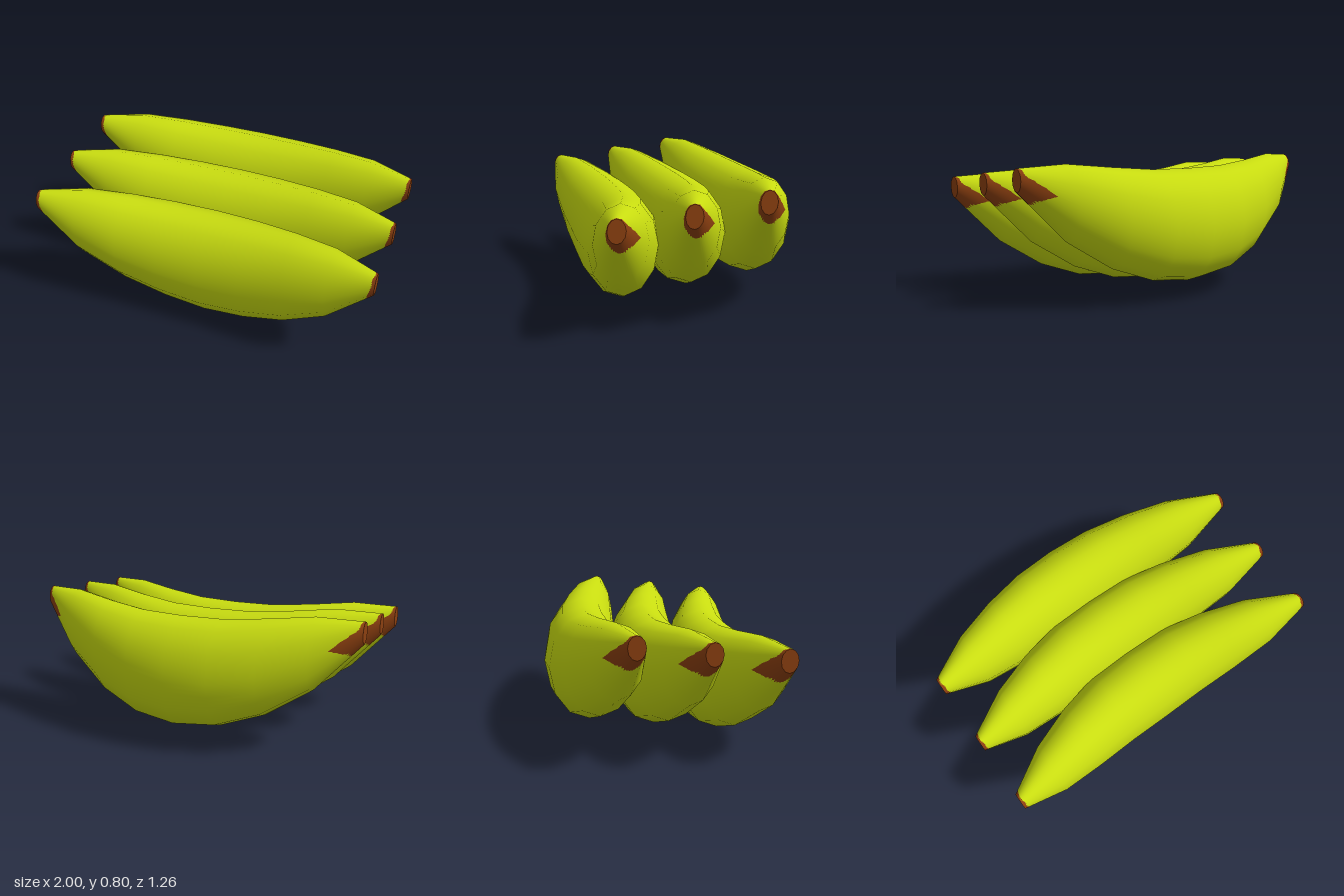
import * as THREE from 'three';

// Half of the fruit: [x, centreY, centreZ, radiusY, radiusZ] of each elliptical section
const SECTIONS = [
  [0, 0.33, 0.368, 0.326, 0.233],
  [0.25, 0.347, 0.378, 0.313, 0.224],
  [0.5, 0.403, 0.42, 0.278, 0.197],
  [0.75, 0.498, 0.482, 0.208, 0.148],
  [1, 0.627, 0.553, 0.063, 0.047],
];
const SIDES = 12;
const COLUMNS = 72; // several columns per side, for the ragged edge of the tips

// Brown edge position along x, every 15 degrees from front, over the top, to the back and below
const TIP_EDGE = [
  0.975, 0.977, 0.98, 0.98, 0.982, 0.985, 0.985, 0.985, 0.982, 0.98, 0.972, 0.92,
  0.845, 0.885, 0.91, 0.925, 0.93, 0.935, 0.945, 0.948, 0.955, 0.96, 0.965, 0.97,
];

function sectionAt(x) {
  const a = Math.abs(x);
  const i = Math.min(3, Math.floor(a * 4));
  const t = a * 4 - i;
  return SECTIONS[i].map((v, k) => THREE.MathUtils.lerp(v, SECTIONS[i + 1][k], t));
}

// Point on the smooth ellipse of the section at x
function ellipsePoint(x, angle) {
  const [, cy, cz, ry, rz] = sectionAt(x);
  return new THREE.Vector3(x, cy + ry * Math.sin(angle), cz + rz * Math.cos(angle));
}

// Point on the twelve-sided section
function surfacePoint(x, column) {
  const side = (column / COLUMNS) * SIDES;
  const step = (Math.PI * 2) / SIDES;
  const low = Math.floor(side);
  return ellipsePoint(x, low * step).lerp(ellipsePoint(x, (low + 1) * step), side - low);
}

function surfaceNormal(x, column) {
  const angle = (column / COLUMNS) * Math.PI * 2;
  const along = ellipsePoint(Math.min(1, x + 0.1), angle).sub(ellipsePoint(Math.max(-1, x - 0.1), angle));
  const around = ellipsePoint(x, angle + 0.01).sub(ellipsePoint(x, angle - 0.01));
  return along.cross(around).normalize();
}

function tipEdge(column) {
  const c = column % COLUMNS;
  const f = (c / COLUMNS) * TIP_EDGE.length;
  const i = Math.floor(f);
  const edge = THREE.MathUtils.lerp(TIP_EDGE[i], TIP_EDGE[(i + 1) % TIP_EDGE.length], f - i);
  const tooth = c % 2 ? 0.007 + 0.006 * Math.sin(c * 2.7) : 0;
  return edge + tooth * (edge < 0.97 ? 1 : 0.6);
}

// Loft through the x positions that rows(column) gives
function loft(rows) {
  const positions = [], normals = [], index = [];
  const count = rows(0).length;
  for (let j = 0; j <= COLUMNS; j++) {
    for (const x of rows(j)) {
      positions.push(...surfacePoint(x, j).toArray());
      normals.push(...surfaceNormal(x, j).toArray());
    }
  }
  for (let j = 0; j < COLUMNS; j++) {
    for (let i = 0; i < count - 1; i++) {
      const a = j * count + i, b = a + count;
      index.push(a, a + 1, b, a + 1, b + 1, b);
    }
  }
  const geometry = new THREE.BufferGeometry();
  geometry.setAttribute('position', new THREE.Float32BufferAttribute(positions, 3));
  geometry.setAttribute('normal', new THREE.Float32BufferAttribute(normals, 3));
  geometry.setIndex(index);
  return geometry;
}

export function createModel() {
  const skin = new THREE.MeshStandardMaterial({ color: 0xc8dc10 });
  skin.name = 'yellowGreenSkin';
  const brown = new THREE.MeshStandardMaterial({ color: 0x8b3f10 });
  brown.name = 'brownTip';

  const inner = [-0.75, -0.5, -0.25, 0, 0.25, 0.5, 0.75];
  const skinGeometry = loft((j) => [-tipEdge(j), ...inner, tipEdge(j)]);
  const tipGeometries = {
    leftTip: loft((j) => [tipEdge(j), 1]),
    rightTip: loft((j) => [-1, -tipEdge(j)]),
  };
  const [, endY, endZ, endRy, endRz] = SECTIONS[4];
  const capGeometry = new THREE.CircleGeometry(1, SIDES).scale(endRz, endRy, 1);

  const add = (parent, name, geometry, material) => {
    const mesh = new THREE.Mesh(geometry, material);
    mesh.name = name;
    parent.add(mesh);
    return mesh;
  };

  const model = new THREE.Group();
  model.name = 'bananas';
  ['frontBanana', 'middleBanana', 'backBanana'].forEach((name, i) => {
    const banana = new THREE.Group();
    banana.name = name;
    add(banana, 'peel', skinGeometry, skin);
    for (const tip in tipGeometries) add(banana, tip, tipGeometries[tip], brown);
    // Flat cut ends
    for (const side of [1, -1]) {
      const cap = add(banana, side > 0 ? 'leftCutEnd' : 'rightCutEnd', capGeometry, brown);
      cap.position.set(side, endY, endZ);
      cap.rotation.y = (side * Math.PI) / 2;
    }
    // Each one sits a little higher and further back
    banana.position.set(0, 0.0475 * i, -0.385 * i);
    model.add(banana);
  });
  return model;
}
